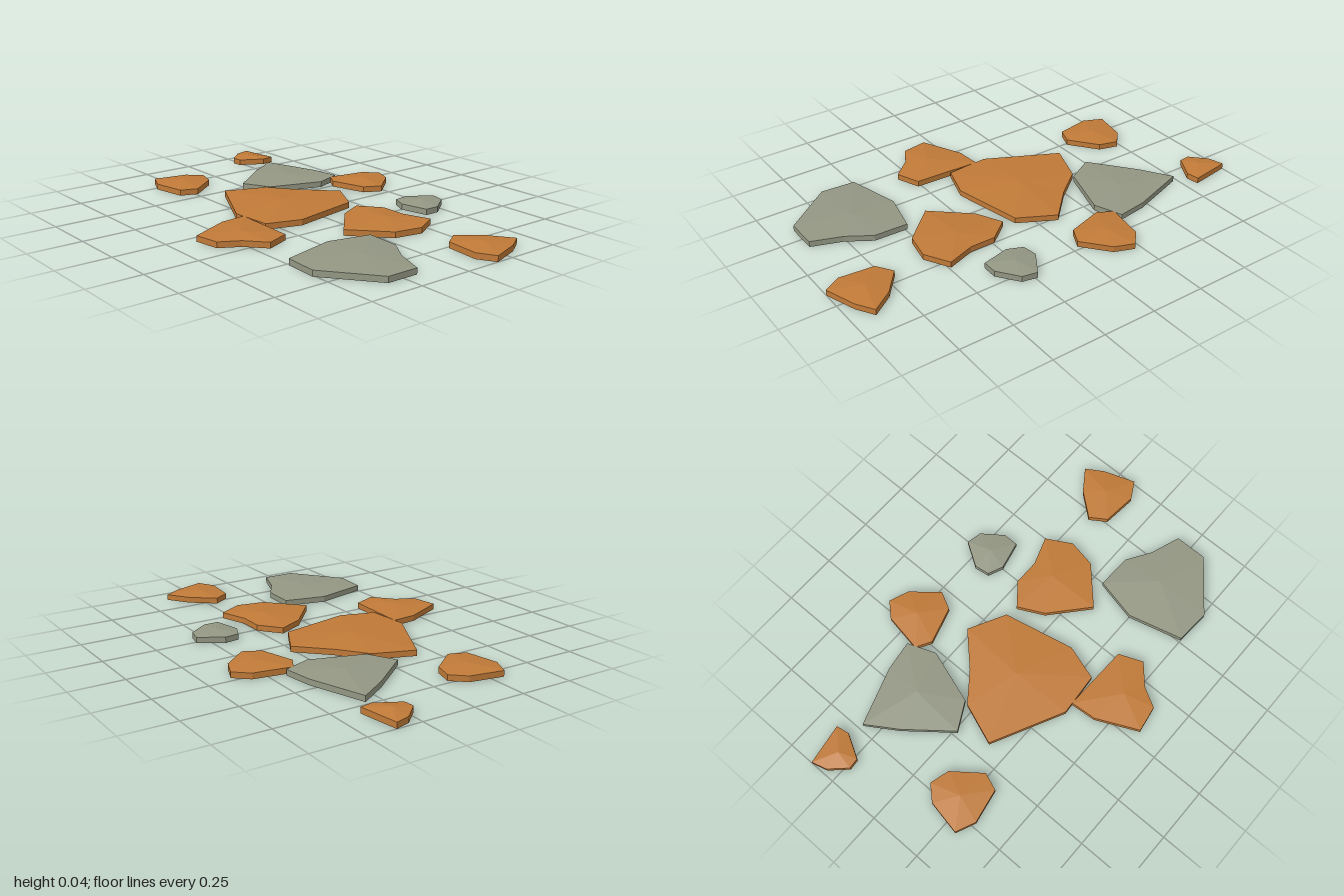
import * as THREE from 'three';

const RIM = 0.027, CROWN = 0.039;

// Thin shell: upright sides and a top rising gently to the middle, open below.
// Corners are x, z pairs running clockwise seen from above.
function stoneGeometry(corners) {
  const n = corners.length / 2;
  const corner = (i) => [corners[2 * (i % n)], corners[2 * (i % n) + 1]];
  let cx = 0, cz = 0;
  for (let i = 0; i < n; i++) {
    cx += corner(i)[0] / n;
    cz += corner(i)[1] / n;
  }
  const positions = [];
  for (let i = 0; i < n; i++) {
    const [ax, az] = corner(i), [bx, bz] = corner(i + 1);
    positions.push(cx, CROWN, cz, bx, RIM, bz, ax, RIM, az);
    positions.push(ax, 0, az, ax, RIM, az, bx, RIM, bz);
    positions.push(ax, 0, az, bx, RIM, bz, bx, 0, bz);
  }
  const geometry = new THREE.BufferGeometry();
  geometry.setAttribute('position', new THREE.Float32BufferAttribute(positions, 3));
  geometry.computeVertexNormals();
  return geometry;
}

export function createModel() {
  const clay = new THREE.MeshStandardMaterial({ name: 'clay', color: 0xc07a38, side: THREE.DoubleSide });
  const slate = new THREE.MeshStandardMaterial({ name: 'slate', color: 0x939783, side: THREE.DoubleSide });
  const group = new THREE.Group();
  group.name = 'steppingStones';

  function addStone(name, material, ...corners) {
    const mesh = new THREE.Mesh(stoneGeometry(corners), material);
    mesh.name = name;
    group.add(mesh);
  }

  // Middle cluster
  addStone('centreStone', clay, -.43, .16, -.36, -.03, -.23, -.13, -.09, -.27, .08, -.18, .15, .15, .1, .31, -.1, .325);
  addStone('frontStone', clay, -.05, .32, .265, .33, .31, .44, .22, .52, .17, .61, .05, .63, -.04, .44);
  addStone('backStone', clay, -.22, -.635, -.13, -.6, -.03, -.48, -.07, -.4, -.24, -.35, -.31, -.39, -.28, -.57);
  addStone('innerLeftStone', clay, .14, -.17, .24, -.25, .36, -.25, .49, -.295, .555, -.18, .53, -.05, .37, .1, .2, -.05);

  // Outlying stones
  addStone('outerLeftStone', clay, .9, -.39, .95, -.31, 1, -.165, .92, -.12, .76, -.135, .71, -.21, .8, -.32);
  addStone('outerRightStone', clay, -1, -.37, -.81, -.4, -.8, -.34, -.86, -.23, -.91, -.225, -.98, -.3);
  addStone('frontRightStone', clay, -.73, .085, -.64, .11, -.54, .24, -.57, .32, -.73, .35, -.82, .31, -.79, .15);

  // Grey slabs and pebble
  addStone('backRightSlab', slate, -.73, -.32, -.46, -.41, -.32, -.43, -.27, -.3, -.35, -.05, -.48, .02, -.64, -.18);
  addStone('frontLeftSlab', slate, .49, .055, .65, .06, .76, .13, .9, .18, .9, .33, .67, .51, .51, .5, .445, .25);
  addStone('backPebble', slate, .24, -.56, .31, -.545, .38, -.45, .38, -.38, .25, -.35, .18, -.38, .17, -.45);
  return group;
}
